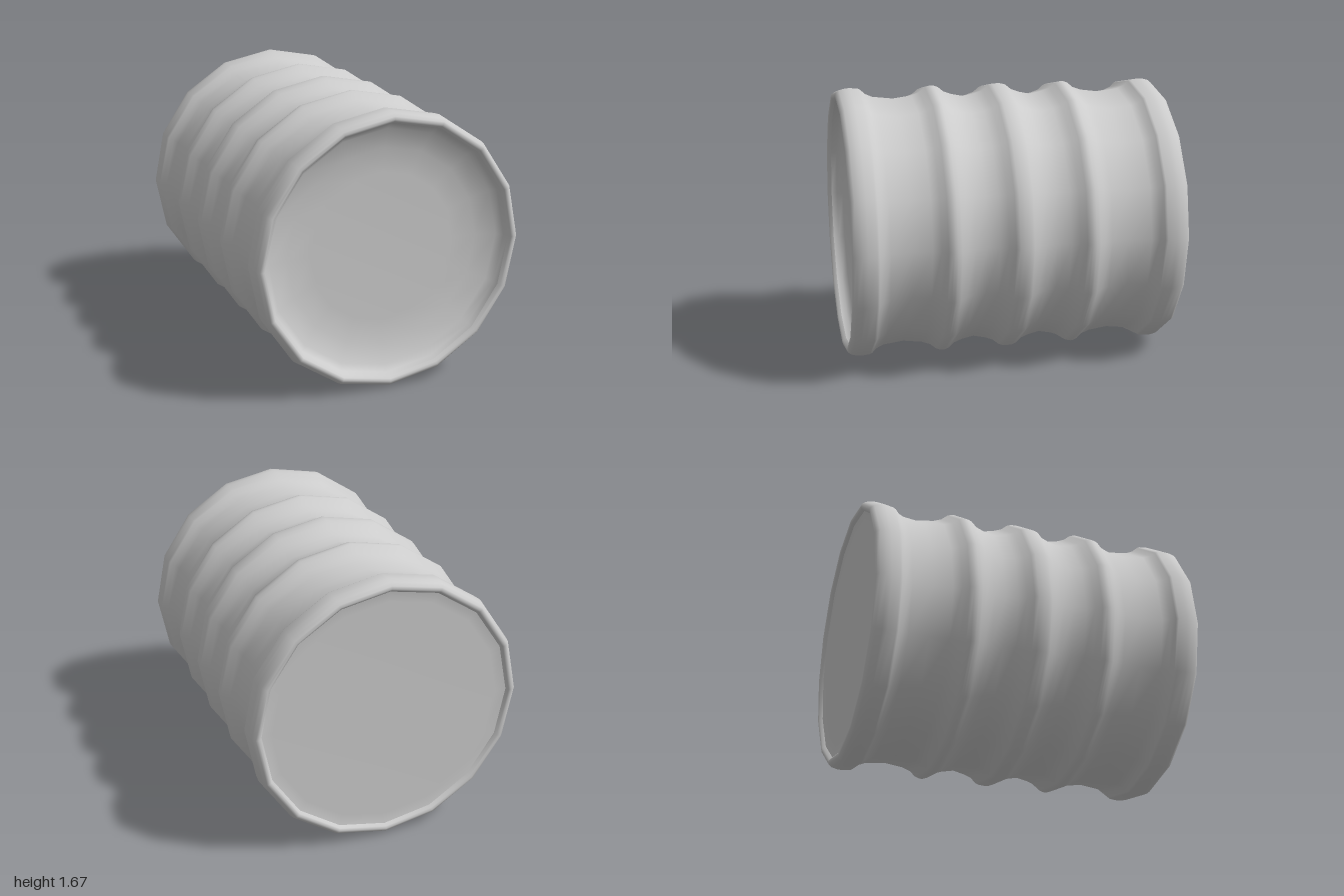
import * as THREE from 'three';

const SIDES = 16;
const RADIUS = 0.833;
const material = new THREE.MeshStandardMaterial({ color: 0xcccccc });

// Revolves [radius, z] points, ordered back to front, around the z axis
function revolve(name, profile) {
  const points = profile.map(([r, z]) => new THREE.Vector2(r, z));
  const geometry = new THREE.LatheGeometry(points, SIDES);
  geometry.rotateX(Math.PI / 2);
  const mesh = new THREE.Mesh(geometry, material);
  mesh.name = name;
  return mesh;
}

// Rounded hoop standing proud of the wall; flat is half the width of its crown
function hoop(z, flat) {
  const half = [[0.775, flat + 0.11], [0.793, flat + 0.06], [0.822, flat + 0.025], [0.831, flat]];
  return [
    ...half.map(([r, d]) => [r, z - d]),
    [RADIUS, z],
    ...half.reverse().map(([r, d]) => [r, z + d]),
  ];
}

export function createModel() {
  const barrel = new THREE.Group();
  barrel.name = 'barrel';

  // Wide end band, from the inner lip out over the rim to the wall
  const endBand = [
    [0.765, 0.975], [0.777, 0.993], [0.79, 1], [0.806, 0.995], [0.822, 0.975],
    [0.831, 0.94], [RADIUS, 0.91], [0.828, 0.86], [0.82, 0.845], [0.795, 0.82], [0.775, 0.775],
  ];

  // Ribbed wall with three hoops between the end bands
  barrel.add(revolve('ribbedWall', [
    ...endBand.map(([r, z]) => [r, -z]),
    [0.76, -0.65],
    ...hoop(-0.41, 0.015),
    [0.76, -0.21],
    ...hoop(0, 0.03),
    [0.76, 0.21],
    ...hoop(0.41, 0.015),
    [0.76, 0.65],
    ...endBand.slice().reverse(),
  ]));

  // Flat base, set just inside the back rim
  barrel.add(revolve('base', [[0, -0.965], [0.7, -0.965], [0.765, -0.975]]));

  // Shallow dished lid inside the front rim
  barrel.add(revolve('dishedLid', [
    [0.765, 0.975], [0.755, 0.94], [0.72, 0.905], [0.6, 0.87], [0.45, 0.855], [0, 0.855],
  ]));

  barrel.position.y = RADIUS;
  const model = new THREE.Group();
  model.add(barrel);
  return model;
}
